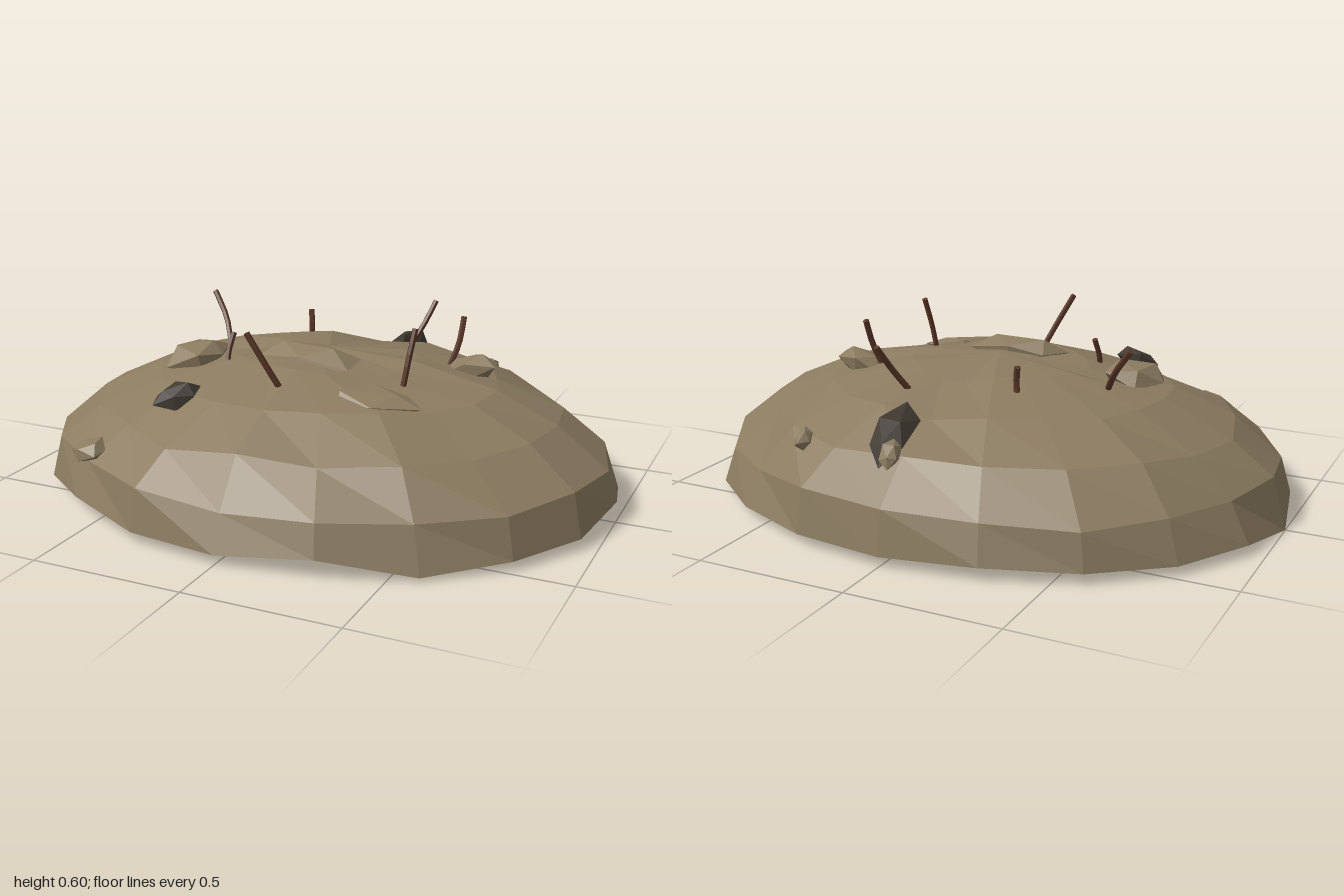
import * as THREE from 'three';

const SEG = 20, RINGS = 5, RX = 1, RZ = 0.815, BASE = 0.035, RISE = 0.42;

// repeatable noise in -1..1
const noise = (a, b = 0, c = 0) => {
  const s = Math.sin(a * 127.1 + b * 311.7 + c * 74.7) * 43758.5453;
  return (s - Math.floor(s)) * 2 - 1;
};

// uneven heights of the rim, starting at -x and running round through +z
const RIM = [0, 0.035, 0.035, 0.06, 0.035, 0.035, 0.062, 0.012, 0.03, 0.035,
  0.07, 0.02, 0.03, 0.035, 0.035, 0.035, 0.045, 0.035, 0.03, 0.035];

// half-sphere dome, squashed and roughened ring by ring
function moundGeometry() {
  const g = new THREE.SphereGeometry(1, SEG, RINGS, 0, Math.PI * 2, 0, Math.PI / 2);
  const p = g.attributes.position;
  for (let ring = 0; ring <= RINGS; ring++) {
    for (let i = 0; i <= SEG; i++) {
      const k = ring * (SEG + 1) + i, col = i % SEG;
      const rim = ring === RINGS, top = ring === 0;
      const n = rim || top ? 0 : noise(ring, col, 3);
      const slide = rim || top ? 1 : 1 + 0.025 * noise(col, ring, 7);
      const y = rim ? RIM[col] : BASE + p.getY(k) * RISE + n * 0.016 + (top ? 0.008 : 0);
      p.setXYZ(k, p.getX(k) * RX * slide, y, p.getZ(k) * RZ * slide);
    }
  }
  return g;
}

// closed underside: a fan following the rim
function undersideGeometry() {
  const g = new THREE.CircleGeometry(1, SEG);
  const p = g.attributes.position;
  for (let i = 0; i <= SEG; i++) {
    const a = (i / SEG) * Math.PI * 2;
    p.setXYZ(i + 1, -Math.cos(a) * RX, RIM[i % SEG], Math.sin(a) * RZ);
  }
  p.setXYZ(0, 0, BASE, 0);
  g.index.array.reverse();
  // wind the fan so that it faces down
  const ix = g.index.array, v = [0, 1, 2].map(j => new THREE.Vector3().fromBufferAttribute(p, ix[j]));
  if (v[1].sub(v[0]).cross(v[2].sub(v[0])).y > 0) ix.reverse();
  return g;
}

// jagged lump, its corners pushed in and out
function clodGeometry(seed, size) {
  const g = new THREE.IcosahedronGeometry(1, 0);
  const p = g.attributes.position;
  for (let i = 0; i < p.count; i++) {
    const c = [p.getX(i), p.getY(i), p.getZ(i)].map(v => Math.round(v * 100) / 100 + 0);
    const s = 1 + 0.25 * noise(c[0] + seed, c[1], c[2]);
    p.setXYZ(i, c[0] * s * size[0], c[1] * s * size[1], c[2] * s * size[2]);
  }
  return g;
}

export function createModel() {
  const model = new THREE.Group();
  model.name = 'dirtMound';
  const make = (name, color) => {
    const m = new THREE.MeshStandardMaterial({ color, flatShading: true });
    m.name = name;
    return m;
  };
  const soil = make('soil', 0x8b7b60);
  const stone = make('darkStone', 0x403a32);
  const bark = make('rootBrown', 0x5a3728);

  const add = (name, geometry, material) => {
    const mesh = new THREE.Mesh(geometry, material);
    mesh.name = name;
    model.add(mesh);
    return mesh;
  };

  add('mound', moundGeometry(), soil);
  add('underside', undersideGeometry(), soil);

  // lumps: name, material, centre, half sizes, tilt
  const clods = [
    ['soilClod', soil, [-0.435, 0.41, 0.11], [0.12, 0.055, 0.1], [0.1, 0.5, 0.15]],
    ['soilClod', soil, [-0.02, 0.45, 0.11], [0.175, 0.05, 0.1], [0.05, -0.1, 0]],
    ['soilClod', soil, [0.28, 0.392, 0.29], [0.16, 0.032, 0.08], [0.2, 0.35, -0.08]],
    ['soilClod', soil, [0.46, 0.405, -0.135], [0.095, 0.05, 0.06], [0, 0, 0.25]],
    ['darkRock', stone, [-0.335, 0.37, 0.44], [0.09, 0.042, 0.055], [0.25, 0.4, 0.15]],
    ['darkRock', stone, [0.075, 0.335, -0.58], [0.06, 0.055, 0.135], [-0.25, 0.15, 0]],
    ['soilClod', soil, [0.03, 0.31, -0.67], [0.03, 0.03, 0.06], [-0.4, 0.2, 0]],
    ['soilClod', soil, [0.39, 0.28, -0.6], [0.034, 0.035, 0.055], [-0.4, 0.3, -0.2]],
    ['soilClod', soil, [-0.565, 0.207, 0.6], [0.075, 0.033, 0.05], [0.2, -0.4, 0.1]],
  ];
  clods.forEach(([name, mat, at, size, tilt], i) => {
    const clod = add(name, clodGeometry(i + 1, size), mat);
    clod.position.set(...at);
    clod.rotation.set(...tilt);
  });

  // bent roots: buried foot, tip
  const roots = [
    [[-0.42, 0.40, -0.08], [-0.53, 0.565, -0.17]],
    [[-0.285, 0.38, 0.19], [-0.29, 0.51, 0.13]],
    [[-0.2, 0.39, -0.28], [-0.2, 0.505, -0.285]],
    [[0, 0.39, 0.34], [-0.1, 0.593, 0.395]],
    [[0.155, 0.38, -0.32], [0.228, 0.55, -0.42]],
    [[0.33, 0.39, 0.16], [0.354, 0.59, 0.115]],
    [[0.38, 0.39, -0.125], [0.415, 0.568, -0.18]],
  ];
  roots.forEach(([foot, tip], i) => {
    const a = new THREE.Vector3(...foot), b = new THREE.Vector3(...tip);
    const mid = a.clone().lerp(b, 0.5);
    mid.x += 0.012 * noise(i, 1);
    mid.z += 0.012 * noise(i, 2);
    const curve = new THREE.CatmullRomCurve3([a, mid, b]);
    add('root', new THREE.TubeGeometry(curve, 5, 0.01, 6), bark);
    // closed tip
    const cap = add('rootTip', new THREE.CircleGeometry(0.01, 6), bark);
    cap.position.copy(b);
    cap.lookAt(b.clone().add(curve.getTangent(1)));
  });

  return model;
}
